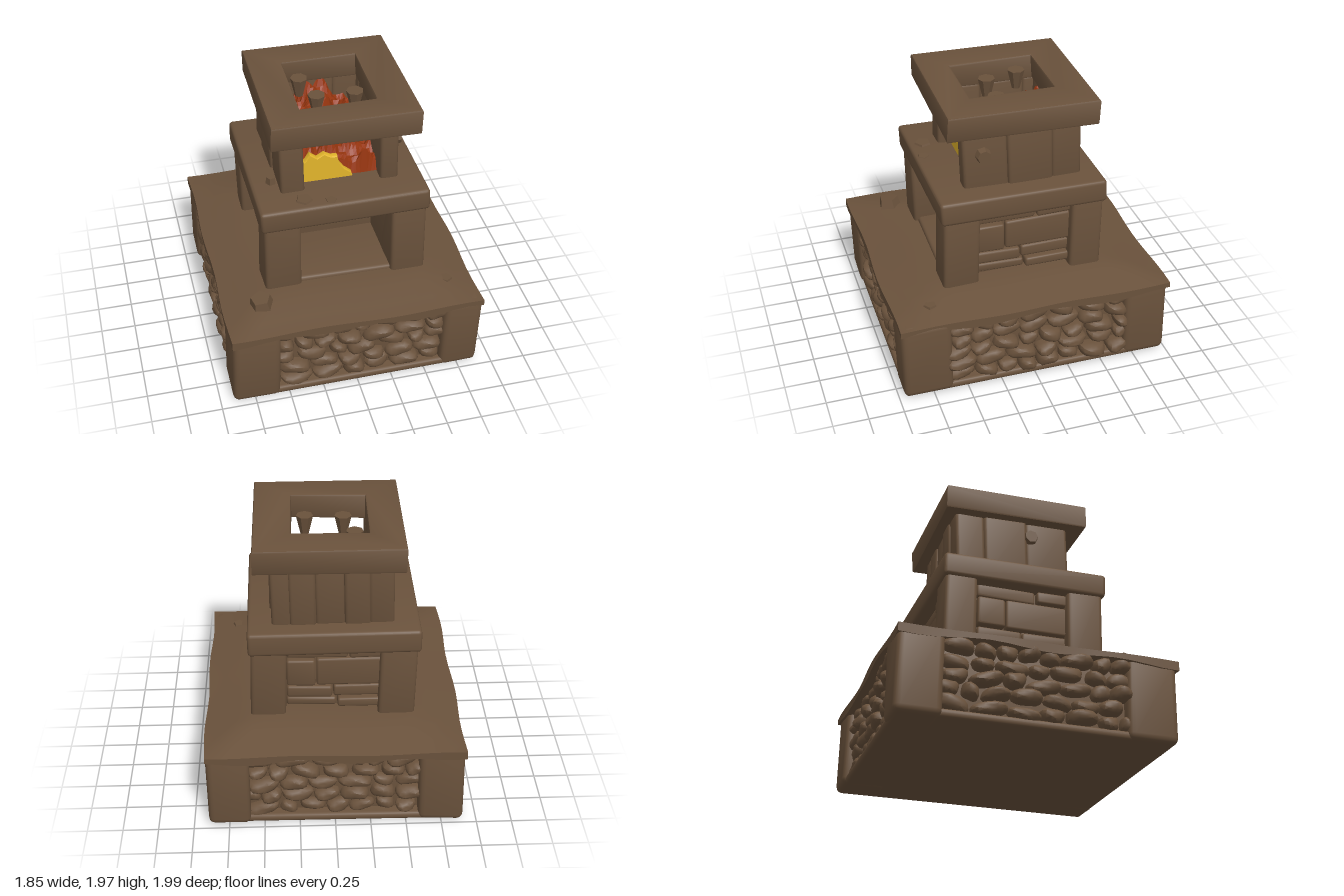
import * as THREE from 'three';
import { toCreasedNormals } from 'three/addons/utils/BufferGeometryUtils.js';
import { RoundedBoxGeometry } from 'three/addons/geometries/RoundedBoxGeometry.js';

const stone = new THREE.MeshStandardMaterial({ color: 0x6a523c });
stone.name = 'brown stone';
const ember = new THREE.MeshStandardMaterial({ color: 0x96350f, flatShading: true });
ember.name = 'red ember';
const flame = new THREE.MeshStandardMaterial({ color: 0xe3b52c });
flame.name = 'yellow flame';

// Small seeded random generator
let seed = 7;
const rand = (a = 0, b = 1) => {
  seed = (seed * 16807) % 2147483647;
  return a + (b - a) * (seed / 2147483647);
};

// Moves every vertex by a rule
function warp(geo, rule) {
  const p = geo.attributes.position, v = new THREE.Vector3();
  for (let i = 0; i < p.count; i++) {
    v.fromBufferAttribute(p, i);
    rule(v);
    p.setXYZ(i, v.x, v.y, v.z);
  }
  return geo;
}

// Uneven, hand-cut surface
const wobble = (amp) => (v) => {
  const { x, y, z } = v;
  v.x += amp * Math.sin(5 * y + 4 * z + 1);
  v.y += amp * Math.sin(5 * x - 4 * z);
  v.z += amp * Math.sin(4 * x + 6 * y + 2);
};

function add(parent, name, geo, mat = stone) {
  const mesh = new THREE.Mesh(geo, mat);
  mesh.name = name;
  parent.add(mesh);
  return mesh;
}

// Worn block between two limits on each axis
function block(parent, name, [x0, x1], [y0, y1], [z0, z1], r = 0.025, amp = 0.007) {
  const geo = new RoundedBoxGeometry(x1 - x0, y1 - y0, z1 - z0, 2, r);
  geo.translate((x0 + x1) / 2, (y0 + y1) / 2, (z0 + z1) / 2);
  return add(parent, name, toCreasedNormals(warp(geo, wobble(amp)), 0.6));
}

// Rounded, slightly boxy rubble stone
function rubbleStone(parent, x, y, z, w, h, d) {
  const k = rand(0, 6);
  const geo = warp(new THREE.IcosahedronGeometry(1, 2), (v) => {
    const f = 1 / Math.pow(Math.abs(v.x) ** 3 + Math.abs(v.y) ** 3 + Math.abs(v.z) ** 3, 1 / 3);
    v.multiplyScalar(f * (1 + 0.1 * Math.sin(3 * v.x + 2 * v.y + k)));
    v.set(v.x * w, v.y * h, v.z * d);
  });
  const m = add(parent, 'rubbleStone', toCreasedNormals(geo, 0.7));
  m.position.set(x, y, z);
  m.rotation.z = rand(-0.2, 0.2);
}

// Rows of rubble facing +z, turned to one side of the base
function rubblePanel(parent, u0, u1, depth, turn) {
  const panel = new THREE.Group();
  panel.name = 'rubblePanel';
  for (let row = 0; row < 5; row++) {
    let u = u0 - rand(0, 0.06);
    while (u < u1 - 0.04) {
      const w = Math.min(rand(0.13, 0.25), u1 + 0.04 - u);
      rubbleStone(panel, u + w / 2, 0.11 + row * 0.102 + rand(-0.015, 0.015), depth,
        w * 0.47, rand(0.042, 0.055), rand(0.06, 0.1));
      u += w;
    }
  }
  panel.rotation.y = turn;
  parent.add(panel);
}

// Recessed bricks facing +z, turned to one side of the middle tier
const bricks = [
  [-0.33, 0.02, 0.69, 0.755], [0.03, 0.36, 0.69, 0.76], [-0.33, -0.01, 0.765, 0.855], [0, 0.36, 0.77, 0.86],
  [-0.33, -0.13, 0.87, 1.08], [-0.12, 0.36, 0.87, 1.09], [-0.33, 0.1, 1.09, 1.19], [0.11, 0.36, 1.1, 1.19]
];
function brickPanel(parent, turn) {
  const panel = new THREE.Group();
  panel.name = 'brickPanel';
  bricks.forEach(([a, b, c, d], i) =>
    block(panel, 'brick', [a, b], [c, d], [0.4, 0.5 + (i * 5 % 3) * 0.012], 0.018, 0.004));
  panel.rotation.y = turn;
  parent.add(panel);
}

// Flat chipped rock
function chip(parent, x, y, z, r, h, sides = 5) {
  const m = add(parent, 'looseRock', new THREE.CylinderGeometry(r * 0.8, r, h, sides).toNonIndexed());
  m.geometry.computeVertexNormals();
  m.position.set(x, y, z);
  m.rotation.y = x * 9;
  return m;
}

function createModel() {
  const model = new THREE.Group();
  model.name = 'stoneFurnace';

  // Base: core, foot, corner posts and rubble
  const base = new THREE.Group();
  base.name = 'base';
  model.add(base);
  block(base, 'baseCore', [-0.81, 0.81], [0.02, 0.58], [-0.88, 0.88]);
  block(base, 'baseFoot', [-0.87, 0.89], [0.01, 0.07], [-0.96, 0.96]);
  for (const [x, z] of [[[-0.9, -0.56], [0.61, 0.97]], [[0.62, 0.9], [0.61, 0.97]],
    [[-0.9, -0.58], [-0.98, -0.66]], [[0.6, 0.9], [-0.98, -0.66]]])
    block(base, 'basePost', x, [0.008, 0.6], z, 0.045, 0.008);
  rubblePanel(base, -0.56, 0.62, 0.87, 0);
  rubblePanel(base, -0.6, 0.58, 0.87, Math.PI);
  rubblePanel(base, -0.61, 0.66, 0.82, Math.PI / 2);
  rubblePanel(base, -0.66, 0.61, 0.82, -Math.PI / 2);

  // Base top, rising gently to the middle
  const top = warp(new THREE.BoxGeometry(1.81, 0.06, 1.97, 16, 1, 16), (v) => {
    const edge = Math.max(Math.abs(v.x) / 0.905, Math.abs(v.z) / 0.985);
    const rise = 0.07 * THREE.MathUtils.smoothstep(1 - edge, -0.05, 0.4);
    v.y = v.y > 0 ? 0.6 + rise : 0.55 + 0.015 * Math.sin(9 * v.x + 7 * v.z);
    v.x += 0.008 * Math.sin(7 * v.z);
    v.z += 0.01 * Math.sin(6 * v.x);
  });
  add(base, 'baseTop', toCreasedNormals(top, 0.7));

  // Loose rocks
  chip(base, -0.64, 0.675, 0.7, 0.09, 0.08).rotation.z = 0.15;
  chip(base, 0.7, 0.63, 0.72, 0.055, 0.04);
  chip(base, -0.46, 1.37, 0.25, 0.04, 0.07);
  chip(base, -0.28, 1.355, 0.5, 0.07, 0.03);
  chip(base, -0.1, 1.345, 0.54, 0.05, 0.03);

  // Middle tier: open hearth, posts, bricks and cap
  const mid = new THREE.Group();
  mid.name = 'middleTier';
  model.add(mid);
  block(mid, 'hearthBack', [-0.45, 0.45], [0.62, 1.2], [-0.45, 0.05]);
  block(mid, 'hearthFloor', [-0.45, 0.45], [0.62, 0.695], [0, 0.55]);
  block(mid, 'hearthLintel', [-0.45, 0.45], [1.155, 1.25], [0, 0.55], 0.02);
  for (const s of [-1, 1]) {
    block(mid, 'hearthWall', s < 0 ? [-0.47, -0.33] : [0.33, 0.47], [0.62, 1.2], [0, 0.5]);
    const w = s < 0 ? [-0.58, -0.32] : [0.33, 0.58];
    block(mid, 'frontPost', w, [0.63, 1.22], [0.32, 0.58], 0.03);
    block(mid, 'backPost', w, [0.63, 1.22], [-0.58, -0.35], 0.03);
    brickPanel(mid, s * Math.PI / 2);
  }
  brickPanel(mid, Math.PI);
  block(mid, 'middleCap', [-0.6, 0.6], [1.18, 1.35], [-0.6, 0.6], 0.025, 0.009);

  // Upper tier: wall slabs around the fire
  const upper = new THREE.Group();
  upper.name = 'upperTier';
  model.add(upper);
  const h = [1.32, 1.8];
  for (const s of [-1, 1]) {
    const side = (out) => s < 0 ? [-out, -0.25] : [0.29, out];
    block(upper, 'sideSlab', side(0.42), h, [0.07, 0.39]);
    block(upper, 'sideSlab', side(0.435), h, [-0.25, 0.075]);
    block(upper, 'sideSlab', side(0.425), h, [-0.46, -0.245]);
  }
  for (const [a, b, z] of [[-0.26, -0.08, -0.47], [-0.085, 0.12, -0.455], [0.115, 0.3, -0.465]])
    block(upper, 'backSlab', [a, b], h, [z, -0.32]);
  for (const [x, y, z] of [[0.435, 1.6, 0.25], [-0.425, 1.67, 0.1]])
    chip(upper, x, y, z, 0.06, 0.06, 7).rotation.set(0, 0, x < 0 ? Math.PI / 2 : -Math.PI / 2);

  // Square rim around the chimney hole
  const rect = (s, x0, x1, z0, z1) =>
    s.moveTo(x0, z0).lineTo(x1, z0).lineTo(x1, z1).lineTo(x0, z1).closePath();
  const rim = rect(new THREE.Shape(), -0.485, 0.52, -0.53, 0.505);
  rim.holes.push(rect(new THREE.Path(), -0.265, 0.295, -0.325, 0.3));
  const rimGeo = new THREE.ExtrudeGeometry(rim, {
    depth: 0.155, bevelThickness: 0.015, bevelSize: 0.015, bevelSegments: 2
  });
  rimGeo.rotateX(Math.PI / 2).translate(0, 1.95, 0);
  add(upper, 'chimneyRim', toCreasedNormals(warp(rimGeo, wobble(0.01)), 0.6));

  // Fire: jagged ember heap climbing to the back
  const fire = new THREE.Group();
  fire.name = 'fire';
  model.add(fire);
  const heap = new THREE.PlaneGeometry(0.56, 0.6, 22, 22);
  heap.rotateX(-Math.PI / 2).translate(0.02, 0, -0.02);
  warp(heap, (v) => {
    const t = (0.28 - v.z) / 0.6;
    if (t < 0.01) { v.y = 1.34; return; }
    const crest = 1.73 - 0.7 * Math.abs(v.x + 0.02);
    const spike = Math.abs(Math.sin(19 * v.x + 2 * Math.sin(11 * v.z))) * Math.abs(Math.sin(14 * v.z + 3 * v.x));
    v.y = 1.42 + (crest - 1.42) * Math.min(1, t * 1.25) + 0.13 * spike * spike + rand(-0.012, 0.012);
  });
  heap.computeVertexNormals();
  add(fire, 'emberHeap', heap, ember);

  // Bright flame at the mouth
  const glow = new THREE.Shape([[-0.25, 1.35], [0.11, 1.35], [0.1, 1.38], [0.05, 1.42], [0.01, 1.48],
    [0, 1.53], [-0.04, 1.53], [-0.09, 1.56], [-0.14, 1.53], [-0.19, 1.57], [-0.22, 1.52], [-0.25, 1.5]]
    .map(([x, y]) => new THREE.Vector2(x, y)));
  const glowGeo = new THREE.ExtrudeGeometry(glow, {
    depth: 0.02, bevelThickness: 0.015, bevelSize: 0.006, bevelSegments: 2
  });
  add(fire, 'flame', toCreasedNormals(glowGeo.translate(0, 0, 0.265), 0.7), flame);

  // Tapered stones hanging in the chimney
  for (const [x, z] of [[-0.16, -0.17], [-0.09, 0.07], [0.18, 0.08]]) {
    const geo = new THREE.CylinderGeometry(0.062, 0.03, 0.14, 7).toNonIndexed();
    geo.computeVertexNormals();
    add(upper, 'chimneyStone', geo).position.set(x, 1.84, z);
  }
  return model;
}

export { createModel };
